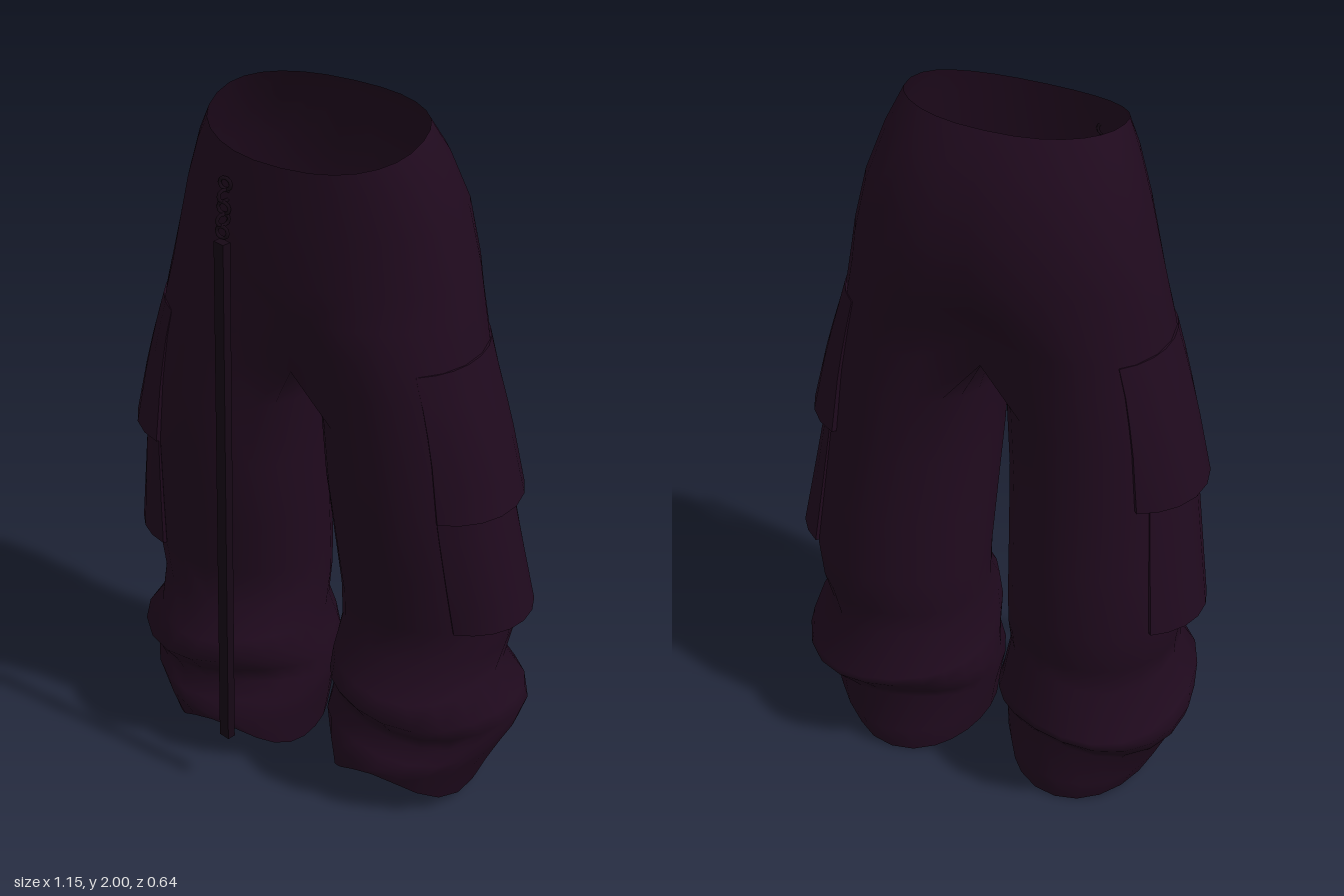
import * as THREE from 'three';
import { mergeGeometries, mergeVertices, toCreasedNormals } from 'three/addons/utils/BufferGeometryUtils.js';

const RAD = Math.PI / 180;
const OUTER = 15; // points on the outer arc of a half section
const INNER = 7; // extra points on the inside of a leg
const CROTCH = 6; // row where the legs part

// Half sections from waist to hem: y, outer x, inner x, front z, back z, half angle, tilt along z
const ROWS = [
  [2.0, 0.283, -0.283, 0.25, -0.13, 90, 0],
  [1.9, 0.322, -0.322, 0.252, -0.185, 90, -0.06],
  [1.77, 0.365, -0.365, 0.256, -0.237, 90, 0],
  [1.62, 0.4, -0.4, 0.258, -0.243, 90, 0],
  [1.53, 0.417, -0.2, 0.257, -0.228, 110, 0],
  [1.44, 0.435, -0.06, 0.253, -0.21, 121, 0],
  [1.34, 0.452, -0.01, 0.25, -0.206, 125, 0],
  [1.2, 0.475, 0.014, 0.243, -0.21, 125, 0],
  [1.0, 0.495, 0.026, 0.24, -0.22, 125, 0],
  [0.8, 0.512, 0.035, 0.21, -0.245, 125, 0],
  [0.62, 0.528, 0.042, 0.18, -0.266, 125, 0],
  [0.51, 0.512, 0.045, 0.176, -0.267, 125, 0],
  [0.42, 0.498, 0.042, 0.235, -0.25, 125, 0],
  [0.335, 0.553, 0.03, 0.262, -0.312, 125, 0.12],
  [0.285, 0.56, 0.02, 0.205, -0.3, 125, 0.06],
  [0.235, 0.545, 0.018, 0.185, -0.25, 125, 0.1],
  [0.19, 0.522, 0.02, 0.22, -0.22, 125, 0.1],
  [0.12, 0.485, 0.034, 0.24, -0.25, 125, 0.2],
  [0, 0.445, 0.048, 0.23, -0.24, 125, 0],
];

const pow = (v, e) => Math.sign(v) * Math.abs(v) ** e;

// Point on a section at an angle, pushed outwards by d; hips are boxier than legs
function sectionPoint([y, xo, xi, zf, zb, half, tilt], angle, d = 0) {
  const e = 0.88 + ((half - 90) / 35) * 0.1;
  const x = (xo + xi) / 2 + ((xo - xi) / 2 + d) * pow(Math.cos(angle), e);
  const z = (zf + zb) / 2 + ((zf - zb) / 2 + d) * pow(Math.sin(angle), e);
  return [x, y + tilt * z, z];
}

// Section interpolated at any height
function rowAt(y) {
  const i = Math.max(1, ROWS.findIndex((r) => r[0] <= y));
  const a = ROWS[i - 1], b = ROWS[i];
  const t = (a[0] - y) / (a[0] - b[0]);
  return a.map((v, k) => v + (b[k] - v) * t);
}

// Geometry from a grid of points; side = -1 mirrors it across x
function gridGeometry(grid, side, skip = () => false) {
  const pos = [], idx = [], w = grid[0].length;
  grid.forEach((row) => row.forEach(([x, y, z]) => pos.push(x * side, y, z)));
  for (let i = 0; i < grid.length - 1; i++) {
    for (let j = 0; j < w - 1; j++) {
      if (skip(i, j)) continue;
      const a = i * w + j, b = a + 1, c = a + w, d = c + 1;
      if (side > 0) idx.push(a, c, b, b, c, d);
      else idx.push(a, b, c, b, d, c);
    }
  }
  const g = new THREE.BufferGeometry();
  g.setAttribute('position', new THREE.Float32BufferAttribute(pos, 3));
  g.setIndex(idx);
  return g;
}

// Hem height: low at the back, arched over the front
const hemLift = (z) => (z < 0 ? 0.028 - 0.028 * (z / 0.24) ** 2 : 0.028 + 0.115 * (z / 0.23) ** 3);

// Points of one half of the trousers: open arc at the hips, closed ring at the leg
function halfGrid() {
  const last = ROWS.length - 1;
  return ROWS.map((row, i) => {
    const a = row[5], pts = [];
    for (let j = 0; j <= OUTER + INNER; j++) {
      const deg = j < OUTER
        ? a - (2 * a * j) / (OUTER - 1)
        : -a - ((360 - 2 * a) * (j - OUTER + 1)) / (INNER + 1);
      const p = sectionPoint(row, deg * RAD);
      // centre seam
      if (i <= CROTCH && (j === 0 || j >= OUTER - 1)) p[0] = 0;
      // waist dips towards the front
      if (i === 0) p[1] -= 0.07 * ((p[2] + 0.13) / 0.38) ** 2;
      // bunched cloth around the shin
      if (i > 11 && i < 17) p[1] += 0.012 * Math.sin(3 * deg * RAD + 1) - 0.02 * (p[0] - 0.29);
      if (i === last) p[1] += hemLift(p[2]);
      pts.push(p);
    }
    return pts;
  });
}

// Cargo pocket wrapped on the outer thigh, flaring towards the middle of its lower edge
function pocketGeometry(side, top, bottom, front, back, d0, d1) {
  const grid = [];
  const n = 5, m = 8;
  for (let i = -1; i <= n + 1; i++) {
    const t = THREE.MathUtils.clamp(i / n, 0, 1);
    const row = rowAt(top + (bottom - top) * t);
    const pts = [];
    for (let j = -1; j <= m + 1; j++) {
      const u = THREE.MathUtils.clamp(j / m, 0, 1);
      const rim = i < 0 || i > n || j < 0 || j > m;
      const flare = 0.18 + 0.82 * Math.sin(Math.PI * u);
      const d = rim ? -0.015 : (d0 + (d1 - d0) * t) * flare;
      const p = sectionPoint(row, (front + (back - front) * u) * RAD, d);
      if (i > n) p[1] += 0.015;
      pts.push(p);
    }
    grid.push(pts);
  }
  return toCreasedNormals(gridGeometry(grid, side), 0.7);
}

export function createModel() {
  const cloth = new THREE.MeshStandardMaterial({ color: 0x200a1e, side: THREE.DoubleSide });
  cloth.name = 'dark plum cloth';
  const webbing = new THREE.MeshStandardMaterial({ color: 0x160815 });
  webbing.name = 'near black webbing';

  const model = new THREE.Group();
  model.name = 'cargoTrousers';
  const add = (name, geometry, material, parent = model) => {
    const mesh = new THREE.Mesh(geometry, material);
    mesh.name = name;
    parent.add(mesh);
    return mesh;
  };

  // Trousers, both halves welded at the centre seam
  const grid = halfGrid();
  const noInnerHip = (i, j) => i < CROTCH && j >= OUTER - 1;
  const halves = [1, -1].map((side) => gridGeometry(grid, side, noInnerHip));
  const body = mergeVertices(mergeGeometries(halves), 1e-4);
  body.computeVertexNormals();
  add('trousers', body, cloth);

  const hem = grid[grid.length - 1];
  const hemCentre = hem.map(() => [0.247, 0.05, 0]);
  for (const [side, label] of [[1, 'left'], [-1, 'right']]) {
    // Closed leg end
    const cap = gridGeometry([hem, hemCentre], side);
    cap.computeVertexNormals();
    add(label + 'LegEnd', cap, cloth);
    // Two stacked pockets on each leg
    add(label + 'UpperPocket', pocketGeometry(side, 1.42, 1.0, 52, -46, 0.004, 0.058), cloth);
    add(label + 'LowerPocket', pocketGeometry(side, 1.01, 0.625, 52, -36, 0.022, 0.052), cloth);
  }

  // Hanging strap with a short chain at its top
  const strapGroup = new THREE.Group();
  strapGroup.name = 'hangingStrap';
  model.add(strapGroup);
  const strap = add('strap', new THREE.BoxGeometry(0.034, 1.52, 0.024), webbing, strapGroup);
  strap.position.set(-0.155, 0.94, 0.288);
  strap.rotation.set(-Math.atan(0.038 / 1.52), -0.3, 0);
  for (let i = 0; i < 5; i++) {
    const link = add('chainLink', new THREE.TorusGeometry(0.016, 0.005, 5, 10), webbing, strapGroup);
    link.position.set(-0.16, 1.72 + i * 0.031, 0.258 - i * 0.005);
    link.rotation.y = i % 2 ? 0.9 : 0;
  }
  return model;
}
